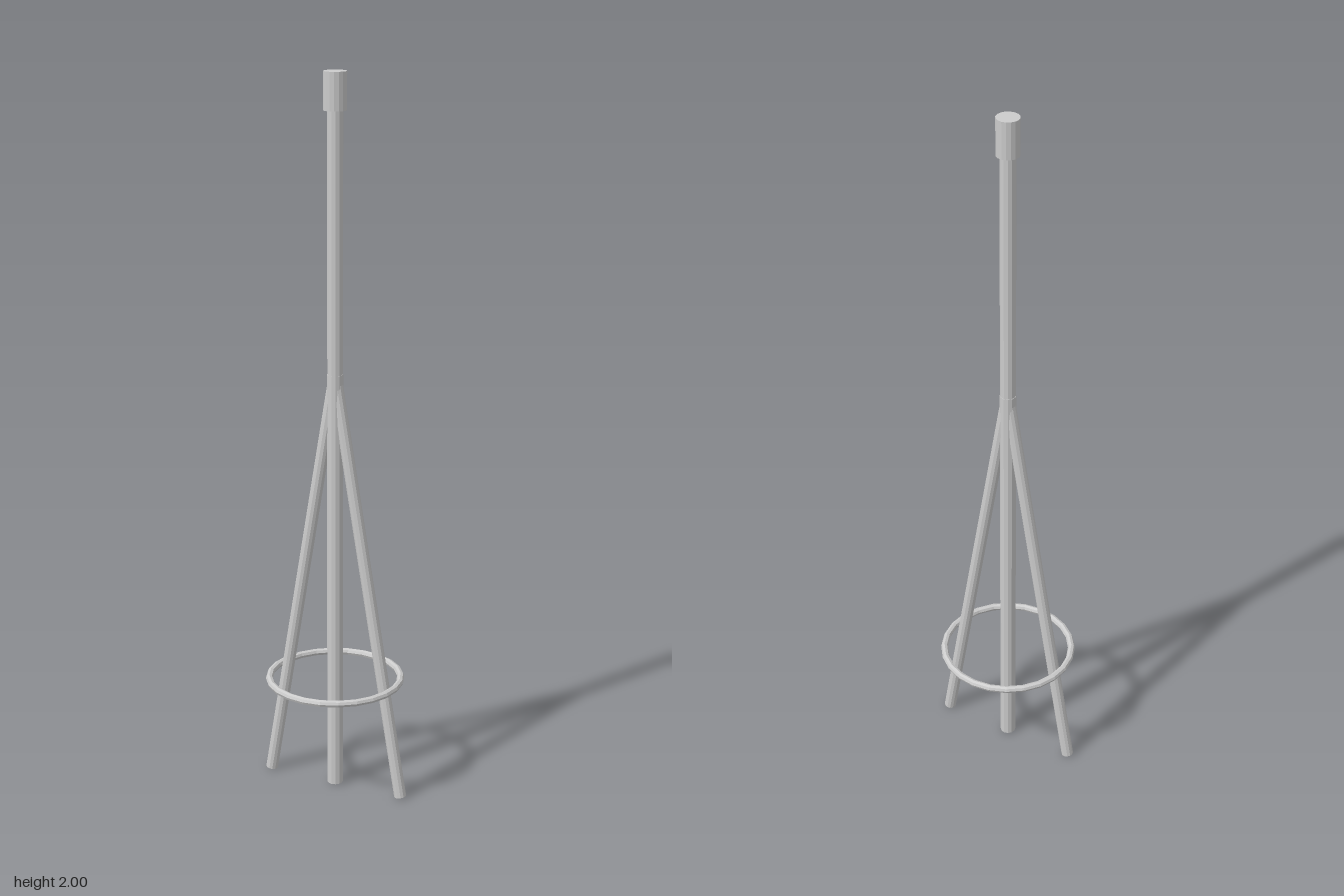
import * as THREE from 'three';

export function createModel() {
  const group = new THREE.Group();
  const material = new THREE.MeshStandardMaterial({ color: 0xcccccc, flatShading: true });

  function add(name, geometry) {
    const mesh = new THREE.Mesh(geometry, material);
    mesh.name = name;
    group.add(mesh);
    return mesh;
  }

  // Straight rod between two points
  function rod(name, from, to, radius, sides) {
    const dir = to.clone().sub(from);
    const mesh = add(name, new THREE.CylinderGeometry(radius, radius, dir.length(), sides));
    mesh.position.copy(from).add(to).multiplyScalar(0.5);
    mesh.quaternion.setFromUnitVectors(new THREE.Vector3(0, 1, 0), dir.normalize());
  }
  const v = (x, y) => new THREE.Vector3(x, y, 0);

  // Central pole and the wider cap at its top
  rod('centreLeg', v(0, 0.003), v(0, 1.2), 0.022, 12);
  rod('upperPole', v(0, 1.19), v(0, 1.91), 0.021, 12);
  rod('topCap', v(0, 1.9), v(0, 2), 0.031, 16);

  // Splayed legs, mirrored left and right
  for (const side of [1, -1]) {
    rod(side > 0 ? 'leftLeg' : 'rightLeg', v(side * 0.205, 0.003), v(0, 1.2), 0.017, 12);
  }

  // Horizontal brace ring
  const ring = add('braceRing', new THREE.TorusGeometry(0.184, 0.01, 8, 24));
  ring.rotation.x = Math.PI / 2;
  ring.position.y = 0.325;

  return group;
}
